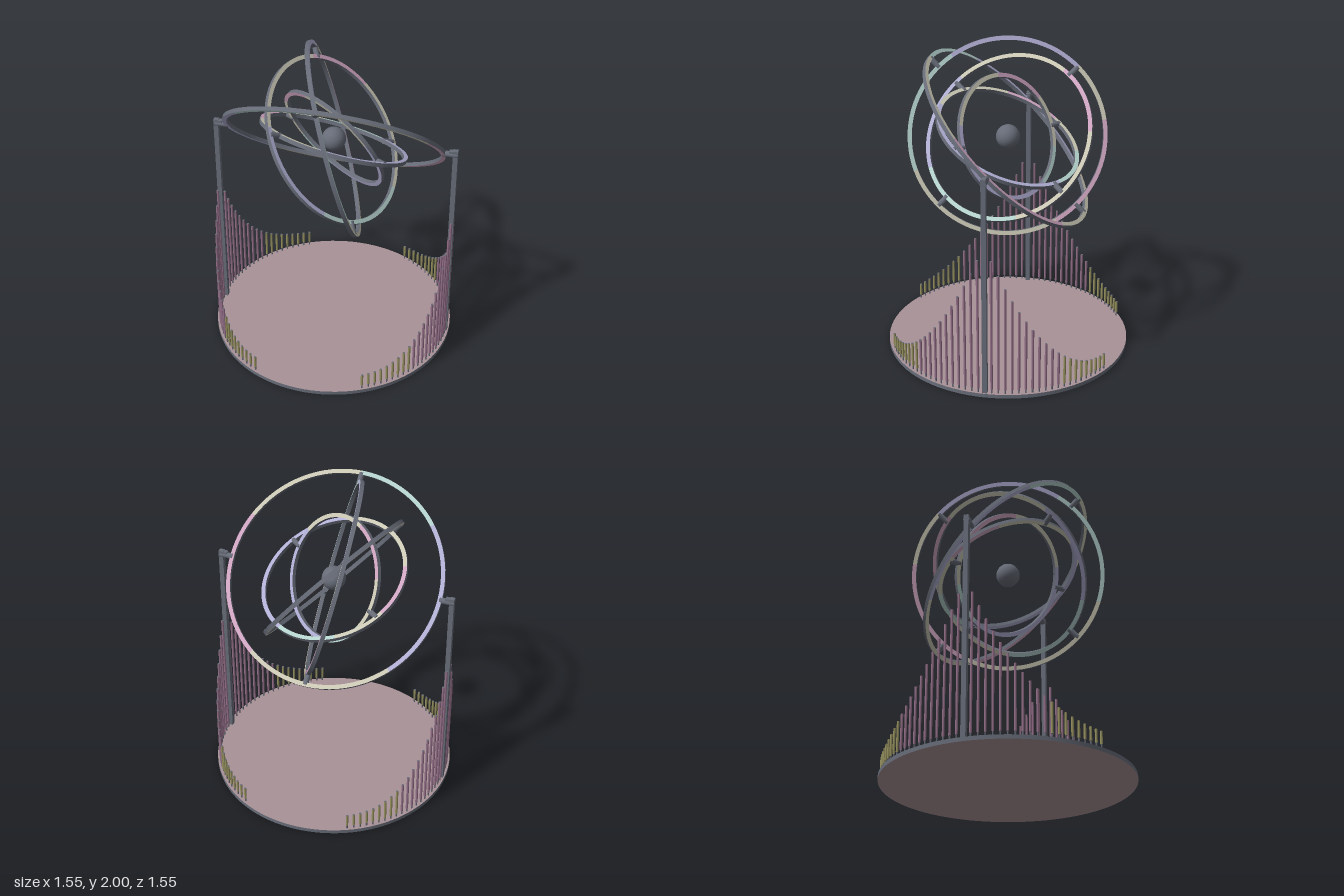
import * as THREE from 'three';

const mat = (name, color) => {
  const m = new THREE.MeshStandardMaterial({ color });
  m.name = name;
  return m;
};

export function createModel() {
  const steel = mat('steel grey', 0x676c78);
  const mauve = mat('dusty mauve', 0xa99397);
  const pink = mat('pink', 0xd0a6c2);
  const beige = mat('beige', 0xcccab6);
  const cyan = mat('pale cyan', 0xb4d2cd);
  const lavender = mat('lavender', 0xb1afd4);
  const plum = mat('plum', 0x95708a);
  const olive = mat('olive', 0x96915f);

  const model = new THREE.Group();
  const add = (parent, name, geometry, material, x = 0, y = 0, z = 0) => {
    const mesh = new THREE.Mesh(geometry, material);
    mesh.name = name;
    mesh.position.set(x, y, z);
    parent.add(mesh);
    return mesh;
  };
  const centreY = 1.4;

  // Round base: grey rim, mauve faces
  add(model, 'base', new THREE.CylinderGeometry(0.775, 0.775, 0.025, 96), [steel, mauve, mauve], 0, 0.0125, 0);

  // Two posts with a short arm towards the outer ring
  for (const s of [-1, 1]) {
    add(model, 'post', new THREE.BoxGeometry(0.03, 1.405, 0.03), steel, s * 0.752, 0.7275, 0);
    add(model, 'postArm', new THREE.BoxGeometry(0.055, 0.026, 0.028), steel, s * 0.74, 1.413, 0);
    const pivot = add(model, 'postPivot', new THREE.CylinderGeometry(0.019, 0.019, 0.09, 12), steel, s * 0.72, centreY, 0);
    pivot.rotation.z = Math.PI / 2;
  }

  // Rows of chimes round both sides, tallest beside the posts, with grey ends
  const step = THREE.MathUtils.degToRad(3.14);
  for (const s of [-1, 1]) {
    for (let i = -20; i <= 20; i++) {
      if (i === 0) continue;
      const k = Math.abs(i);
      const top = 0.13 + 0.885 * Math.pow(1 - k / 20.5, 2.4);
      const x = s * 0.757 * Math.cos(i * step);
      const z = 0.757 * Math.sin(i * step);
      add(model, 'chimePeg', new THREE.CylinderGeometry(0.005, 0.005, 0.03, 6), steel, x, 0.038, z);
      add(model, 'chime', new THREE.CylinderGeometry(0.008, 0.008, top - 0.05, 8),
        [k < 12 ? plum : olive, steel, steel], x, (top + 0.05) / 2, z);
    }
  }

  // Central ball
  const gimbal = new THREE.Group();
  gimbal.name = 'gimbal';
  gimbal.position.y = centreY;
  model.add(gimbal);
  add(gimbal, 'centralBall', new THREE.SphereGeometry(0.075, 24, 16), steel);

  // Successive pivot axes: each ring lies in the plane of two neighbours
  const axes = [
    [1, 0, 0], [0, 0.7, 0.71], [-0.36, 0.66, -0.65],
    [0.53, -0.39, -0.75], [0.83, 0.07, 0.55], [-0.29, 0.91, 0.31],
  ].map((a) => new THREE.Vector3(...a).normalize());
  for (let i = 1; i < axes.length; i++) {
    axes[i].addScaledVector(axes[i - 1], -axes[i].dot(axes[i - 1])).normalize();
  }

  // Outer radius of each ring and the angles where its face colours change
  const faceColours = [pink, beige, cyan, lavender, beige];
  const rings = [
    { r: 0.69, stops: [-55, 25, 90, 140, 225] },
    { r: 0.617, stops: [125, 195, 295, 370, 450] },
    { r: 0.545, stops: [-5, 45, 125, 205, 275] },
    { r: 0.467, stops: [-140, -95, -55, -5, 145] },
    { r: 0.395, stops: [95, 150, 200, 240, 380] },
  ];
  const width = 0.026, half = 0.0125;
  const up = new THREE.Vector3(0, 1, 0);

  // Flat or upright strip swept round the ring between two angles
  const strip = (x1, y1, x2, y2, from = 0, to = 360) => new THREE.LatheGeometry(
    [new THREE.Vector2(x1, y1), new THREE.Vector2(x2, y2)], Math.round((to - from) / 4),
    THREE.MathUtils.degToRad(from), THREE.MathUtils.degToRad(to - from));

  rings.forEach(({ r, stops }, n) => {
    const ring = new THREE.Group();
    ring.name = 'gimbalRing' + (n + 1);
    const normal = new THREE.Vector3().crossVectors(axes[n], axes[n + 1]);
    ring.quaternion.setFromRotationMatrix(new THREE.Matrix4().makeBasis(axes[n + 1], normal, axes[n]));
    gimbal.add(ring);

    // Grey walls
    const ri = r - width;
    add(ring, 'ringOuterWall', strip(r, -half, r, half), steel);
    add(ring, 'ringInnerWall', strip(ri, half, ri, -half), steel);

    // Pastel faces on both sides
    faceColours.forEach((material, i) => {
      const from = stops[i];
      const to = i < 4 ? stops[i + 1] : stops[0] + 360;
      add(ring, 'ringUpperFace', strip(r, half, ri, half, from, to), material);
      add(ring, 'ringLowerFace', strip(ri, -half, r, -half, from, to), material);
    });

    // Pivot pins to the next ring inwards
    if (n < rings.length - 1) {
      const outer = r - 0.012, inner = rings[n + 1].r - 0.02;
      for (const s of [-1, 1]) {
        const pin = add(gimbal, 'pivotPin', new THREE.CylinderGeometry(0.018, 0.018, outer - inner, 12), steel);
        pin.position.copy(axes[n + 1]).multiplyScalar(s * (outer + inner) / 2);
        pin.quaternion.setFromUnitVectors(up, axes[n + 1]);
      }
    }
  });

  return model;
}
